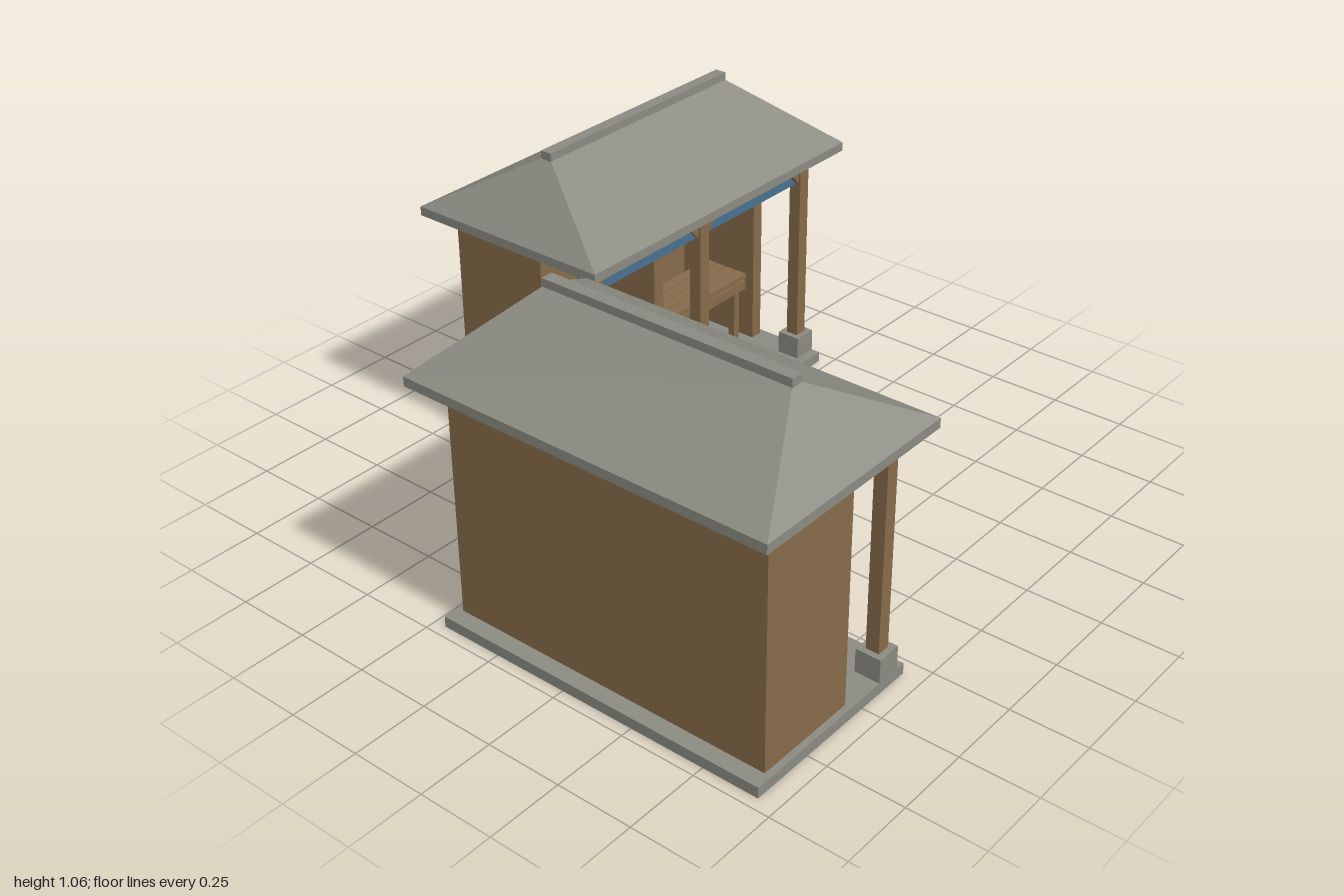
import * as THREE from 'three';

const mat = (name, color) => {
  const m = new THREE.MeshStandardMaterial({ color });
  m.name = name;
  return m;
};

export function createModel() {
  const stone = mat('grey stone', 0x8b8b82);
  const wood = mat('brown wood', 0x876b4b);
  const cloth = mat('blue cloth', 0x4a7190);

  // box given by its bounds on each axis
  const box = (parent, name, m, x0, x1, y0, y1, z0, z1) => {
    const mesh = new THREE.Mesh(new THREE.BoxGeometry(x1 - x0, y1 - y0, z1 - z0), m);
    mesh.position.set((x0 + x1) / 2, (y0 + y1) / 2, (z0 + z1) / 2);
    mesh.name = name;
    parent.add(mesh);
    return mesh;
  };

  // bench with a four-plank seat, two rails and four legs
  function createBench() {
    const bench = new THREE.Group();
    bench.name = 'bench';
    const w = 0.217, d = 0.088;
    for (let i = 0; i < 4; i++) {
      const z = -d + i * 0.045;
      box(bench, 'seatPlank', wood, -w, w, 0.28, 0.3, z, z + 0.041);
    }
    for (const s of [-1, 1]) {
      box(bench, 'seatRail', wood, -w, w, 0.24, 0.274, s * 0.075 - 0.012, s * 0.075 + 0.012);
      box(bench, 'seatCleat', wood, s * 0.175 - 0.02, s * 0.175 + 0.02, 0.25, 0.281, -0.08, 0.08);
      for (const t of [-1, 1])
        box(bench, 'benchLeg', wood, s * 0.175 - 0.013, s * 0.175 + 0.013, 0.035, 0.245,
          t * 0.068 - 0.013, t * 0.068 + 0.013);
    }
    return bench;
  }

  // hipped roof: a box whose top corners are drawn in to the ridge
  function createRoof() {
    const roof = new THREE.Group();
    roof.name = 'roof';
    box(roof, 'eaves', stone, -0.618, 0.618, 0.808, 0.838, -0.367, 0.367);
    let geo = new THREE.BoxGeometry(1.236, 0.197, 0.734);
    const p = geo.attributes.position;
    for (let i = 0; i < p.count; i++)
      if (p.getY(i) > 0) {
        p.setX(i, Math.sign(p.getX(i)) * 0.422);
        p.setZ(i, Math.sign(p.getZ(i)) * 0.018);
      }
    geo = geo.toNonIndexed();
    geo.computeVertexNormals();
    const slopes = new THREE.Mesh(geo, stone);
    slopes.name = 'roofSlopes';
    slopes.position.y = 0.838 + 0.0985;
    roof.add(slopes);
    box(roof, 'ridgeCap', stone, -0.424, 0.424, 1.028, 1.06, -0.02, 0.02);
    return roof;
  }

  function createShelter() {
    const shelter = new THREE.Group();
    shelter.name = 'shelter';
    box(shelter, 'floorSlab', stone, -0.573, 0.573, 0, 0.036, -0.329, 0.329);

    // back, side and dividing walls
    box(shelter, 'backWall', wood, -0.552, 0.552, 0.036, 0.81, -0.275, -0.235);
    for (const x of [-0.53, 0, 0.53])
      box(shelter, 'crossWall', wood, x - 0.022, x + 0.022, 0.036, 0.81, -0.24, 0.08);

    // front posts on stone footings, carrying a beam
    for (const x of [-0.53, 0, 0.53]) {
      box(shelter, 'footing', stone, x - 0.042, x + 0.042, 0.036, 0.115, 0.213, 0.297);
      box(shelter, 'frontPost', wood, x - 0.022, x + 0.022, 0.11, 0.79, 0.233, 0.277);
    }
    box(shelter, 'frontBeam', wood, -0.562, 0.562, 0.783, 0.812, 0.228, 0.282);

    // each bay: hanging cloth, corner braces and a bench
    for (const x of [-0.265, 0.265]) {
      box(shelter, 'valance', cloth, x - 0.243, x + 0.243, 0.69, 0.785, 0.248, 0.254);
      for (const s of [-1, 1]) {
        const brace = box(shelter, 'cornerBrace', wood, -0.012, 0.012, -0.065, 0.065, -0.012, 0.012);
        brace.position.set(x + s * 0.207, 0.75, 0.258);
        brace.rotation.z = s * Math.PI / 4;
      }
      const bench = createBench();
      bench.position.set(x, 0, -0.02);
      shelter.add(bench);
    }
    shelter.add(createRoof());
    return shelter;
  }

  // two matching shelters set at a right angle
  const model = new THREE.Group();
  model.name = 'shelters';
  const rear = createShelter();
  rear.position.set(0.38, 0, -0.617);
  const side = createShelter();
  side.position.set(-0.633, 0, 0.363);
  side.rotation.y = Math.PI / 2;
  model.add(rear, side);
  return model;
}
